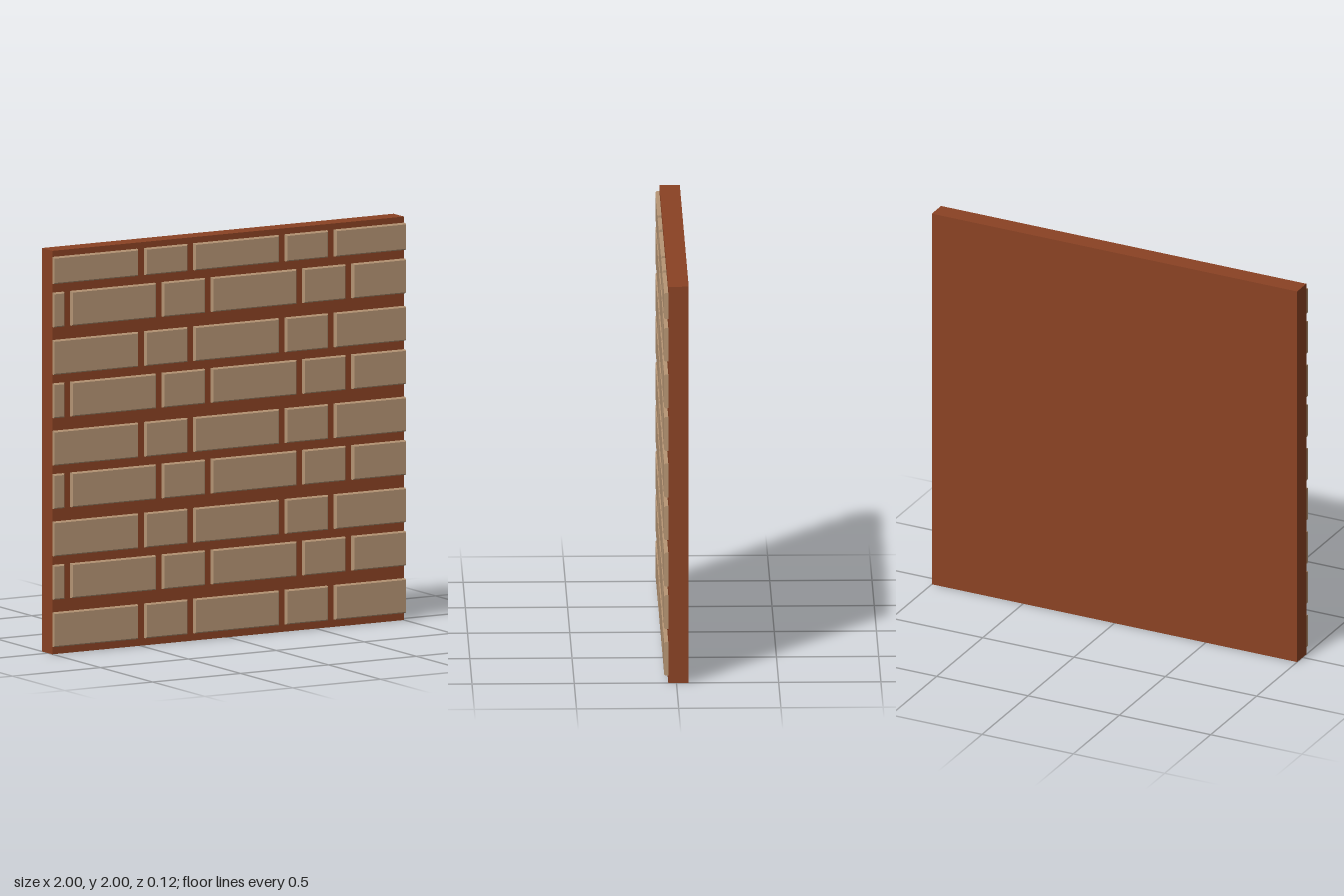
import * as THREE from 'three';

const FRONT = 0.06, FACE = 0.04, BEVEL = 0.006;

// Brick block with a small chamfer round its front; ends cut by the wall's edge stay square
function brickGeometry(x0, x1, y0, y1) {
  const w = x1 - x0, h = y1 - y0, d = FRONT - FACE;
  const g = new THREE.BoxGeometry(w, h, d, 1, 1, 2);
  g.translate((x0 + x1) / 2, (y0 + y1) / 2, (FACE + FRONT) / 2);
  const p = g.attributes.position;
  const middle = (FACE + FRONT) / 2;
  for (let i = 0; i < p.count; i++) {
    const x = p.getX(i), y = p.getY(i), z = p.getZ(i);
    if (Math.abs(z - middle) < 1e-4) p.setZ(i, FRONT - BEVEL);
    else if (z > middle) {
      if (Math.abs(x) < 0.999) p.setX(i, x + (x < (x0 + x1) / 2 ? BEVEL : -BEVEL));
      p.setY(i, y + (y < (y0 + y1) / 2 ? BEVEL : -BEVEL));
    }
  }
  const flat = g.toNonIndexed();
  flat.computeVertexNormals();
  return flat;
}

export function createModel() {
  const mortar = new THREE.MeshStandardMaterial({ color: 0x8a4223 });
  mortar.name = 'red brown mortar';
  const clay = new THREE.MeshStandardMaterial({ color: 0xb69574 });
  clay.name = 'tan brick';

  const model = new THREE.Group();
  model.name = 'brickWall';

  // Backing slab
  const slab = new THREE.Mesh(new THREE.BoxGeometry(2, 2, 0.1), mortar);
  slab.position.set(0, 1, -0.01);
  slab.name = 'slab';
  model.add(slab);

  // Alternating courses of long and short bricks
  const oddCourse = [[-1, -0.52], [-0.48, -0.24], [-0.2, 0.28], [0.32, 0.56], [0.6, 1]];
  const evenCourse = [[-1, -0.94], [-0.9, -0.42], [-0.38, -0.14], [-0.1, 0.38], [0.42, 0.66], [0.7, 1]];
  for (let row = 0; row < 9; row++) {
    const odd = row % 2 === 0;
    const y0 = Math.floor(row / 2) * 0.45 + (odd ? 0.037 : 0.272);
    const y1 = Math.min(y0 + 0.171, 1.97);
    const course = new THREE.Group();
    course.name = `course${row + 1}`;
    for (const [x0, x1] of odd ? oddCourse : evenCourse) {
      const brick = new THREE.Mesh(brickGeometry(x0, x1, y0, y1), clay);
      brick.name = 'brick';
      course.add(brick);
    }
    model.add(course);
  }
  return model;
}
